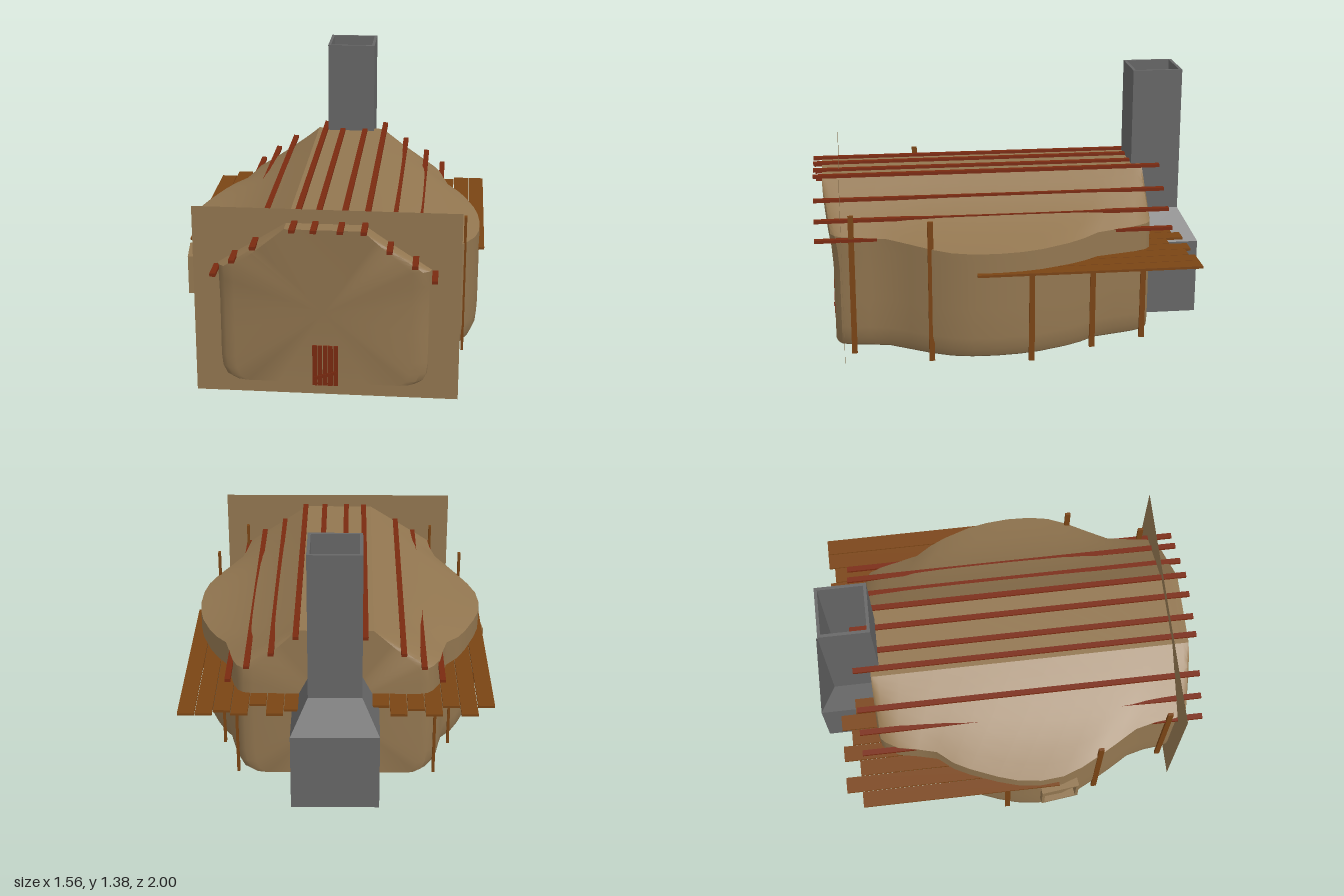
import * as THREE from 'three';
import { toCreasedNormals } from 'three/addons/utils/BufferGeometryUtils.js';

const mat = (color) => new THREE.MeshStandardMaterial({ color, side: THREE.DoubleSide });
const clay = mat(0x927650), wood = mat(0x7a4414), redWood = mat(0x7a2a10), stone = mat(0x666666);

function addMesh(parent, name, geometry, material) {
  const mesh = new THREE.Mesh(geometry, material);
  mesh.name = name;
  parent.add(mesh);
  return mesh;
}

// Box given by its limits on each axis
function addBox(parent, name, material, x0, x1, y0, y1, z0, z1) {
  const box = addMesh(parent, name, new THREE.BoxGeometry(x1 - x0, y1 - y0, z1 - z0), material);
  box.position.set((x0 + x1) / 2, (y0 + y1) / 2, (z0 + z1) / 2);
  return box;
}

// Joins closed rings of points into a skin, with optional end caps
function loft(rings, startCentre, endCentre) {
  const n = rings[0].length, pos = rings.flat(2), index = [];
  for (let i = 0; i < rings.length - 1; i++) {
    for (let j = 0; j < n; j++) {
      const k = (j + 1) % n;
      const a = i * n + j, b = i * n + k, c = b + n, d = a + n;
      index.push(a, b, c, a, c, d);
    }
  }
  const cap = (centre, base, flip) => {
    const m = pos.length / 3;
    pos.push(...centre);
    for (let j = 0; j < n; j++) {
      const a = base + j, b = base + (j + 1) % n;
      index.push(m, flip ? b : a, flip ? a : b);
    }
  };
  if (startCentre) cap(startCentre, 0, true);
  if (endCentre) cap(endCentre, (rings.length - 1) * n, false);
  const g = new THREE.BufferGeometry();
  g.setAttribute('position', new THREE.Float32BufferAttribute(pos, 3));
  g.setIndex(index);
  return g;
}

// Stations of the bulging house: z, half width on -x, half width on +x
const stations = [
  [-0.695, 0.40, 0.42], [-0.685, 0.44, 0.47], [-0.66, 0.465, 0.50], [-0.6, 0.50, 0.525],
  [-0.5, 0.52, 0.55], [-0.4, 0.545, 0.575], [-0.32, 0.61, 0.63], [-0.24, 0.65, 0.67],
  [-0.1, 0.705, 0.72], [0, 0.735, 0.74], [0.12, 0.75, 0.75], [0.24, 0.74, 0.745],
  [0.34, 0.705, 0.725], [0.44, 0.655, 0.68], [0.54, 0.60, 0.62], [0.64, 0.54, 0.56],
  [0.74, 0.515, 0.54], [0.84, 0.505, 0.525], [0.88, 0.49, 0.51], [0.9, 0.465, 0.48], [0.91, 0.42, 0.43],
];

// One side of a section, from the floor centre up to the ridge; the roof lines twist along z
function halfSection(side, w, z) {
  const bulge = Math.max(0, (w - 0.5) / 0.25);
  const eave = 0.68 - 0.04 * bulge, ridge = side > 0 ? 0.2 : 0.17;
  const points = [[w * 0.5, 0.08, 0], [w - 0.06, 0.08, 0], [w - 0.025, 0.1, 0], [w - 0.006, 0.14, 0],
    [w, 0.2, 0], [w, 0.35, 0], [w, 0.5, 0], [w, 0.6, 0]];
  for (let i = 0; i <= 8; i++) {
    const t = i / 8;
    const sag = 0.035 * bulge * Math.sin(Math.PI * t);
    points.push([w + (ridge - w) * t, eave + (0.89 - eave) * t - sag, t]);
  }
  const turn = 0.36 * Math.max(0, 1 - ((z - 0.1) / 0.75) ** 2);
  const lean = 0.045 * THREE.MathUtils.smoothstep(z, 0.5, 0.9);
  return points.map(([x, y, t]) => [side * x, y,
    z - side * turn * t + lean * THREE.MathUtils.smoothstep(y, 0.5, 0.89)]);
}

function addHouse(group) {
  const rings = stations.map(([z, left, right]) =>
    [...halfSection(1, right, z), ...halfSection(-1, left, z).reverse()]);
  const skin = loft(rings, [0.01, 0.45, -0.695], [0.01, 0.45, 0.91]);
  addMesh(group, 'houseBody', toCreasedNormals(skin, 0.55), clay);
  // Thin wall around the front
  const wall = addMesh(group, 'frontWall', new THREE.PlaneGeometry(1.28, 0.96), clay);
  wall.position.set(0.02, 0.48, 0.87);
}

// Hollow chimney with a wide foot
function addChimney(group) {
  const ring = (x0, x1, y, z0, z1) => [[x0, y, z1], [x1, y, z1], [x1, y, z0], [x0, y, z0]];
  const rings = [
    ring(-0.2, 0.23, 0.08, -1, -0.65),
    ring(-0.2, 0.23, 0.475, -1, -0.65),
    ring(-0.115, 0.145, 0.64, -0.905, -0.65),
    ring(-0.115, 0.145, 1.385, -0.905, -0.65),
    ring(-0.1, 0.13, 1.385, -0.89, -0.665),
    ring(-0.1, 0.13, 0.3, -0.89, -0.665),
  ];
  // Reversed so that the faces look outward when lofted upward
  const skin = loft(rings, [0.015, 0.08, -0.825]).toNonIndexed();
  skin.computeVertexNormals();
  addMesh(group, 'chimney', skin, stone);
}

function addDeck(group) {
  const deck = new THREE.Group();
  deck.name = 'deck';
  const backs = [0.81, 0.89, 0.81, 0.89, 0.84, 0.89, 0.81, 0.87, 0.89,
    0.89, 0.88, 0.85, 0.89, 0.8, 0.89, 0.86, 0.89, 0.89];
  const step = 1.54 / backs.length;
  backs.forEach((back, i) => {
    const x = -0.76 + i * step;
    addBox(deck, 'deckPlank', wood, x, x + step - 0.004, 0.53, 0.542, -back, 0.22);
  });
  group.add(deck);
}

// Posts: x on the left half, x on the right half, z, top
function addPosts(group) {
  const posts = [[-0.72, 0.73, -0.05, 0.535], [-0.57, 0.6, -0.375, 0.535], [-0.48, 0.51, -0.65, 0.535],
    [-0.66, 0.675, 0.44, 0.79], [-0.515, 0.54, 0.82, 0.79]];
  for (const [left, right, z, top] of posts) {
    for (const x of [left, right]) {
      addBox(group, 'post', wood, x - 0.007, x + 0.007, 0.065, top, z - 0.014, z + 0.014);
    }
  }
}

function addRafters(group) {
  const rafters = [[-0.13, 0.895], [-0.03, 0.895], [0.095, 0.895], [0.205, 0.895], [-0.315, 0.805],
    [0.325, 0.805], [-0.415, 0.735], [0.445, 0.735], [-0.505, 0.665], [0.537, 0.665]];
  for (const [x, y] of rafters) {
    addBox(group, 'rafter', redWood, x - 0.014, x + 0.014, y - 0.008, y + 0.008, -0.785, 1);
  }
}

function addDoor(group) {
  const door = new THREE.Group();
  door.name = 'door';
  for (let i = 0; i < 5; i++) {
    const x = -0.045 + i * 0.0256;
    addBox(door, 'doorBoard', redWood, x, x + 0.022, 0.068, 0.28, 0.9, 0.916);
  }
  const brace = addBox(door, 'doorBrace', redWood, -0.04, 0.075, 0.115, 0.13, 0.908, 0.92);
  brace.rotation.z = 0.3;
  group.add(door);
}

// Open frame standing out of the side wall
function addWindow(group) {
  const rect = (s, w, h) => s.moveTo(-w, -h).lineTo(w, -h).lineTo(w, h).lineTo(-w, h).closePath();
  const shape = rect(new THREE.Shape(), 0.1, 0.103);
  shape.holes.push(rect(new THREE.Path(), 0.085, 0.088));
  const frame = addMesh(group, 'windowFrame',
    new THREE.ExtrudeGeometry(shape, { depth: 0.06, bevelEnabled: false }), clay);
  frame.rotation.y = -Math.PI / 2 + 0.12;
  frame.position.set(-0.71, 0.375, 0.22);
}

export function createModel() {
  const group = new THREE.Group();
  group.name = 'house';
  addHouse(group);
  addChimney(group);
  addDeck(group);
  addPosts(group);
  addRafters(group);
  addDoor(group);
  addWindow(group);
  return group;
}
